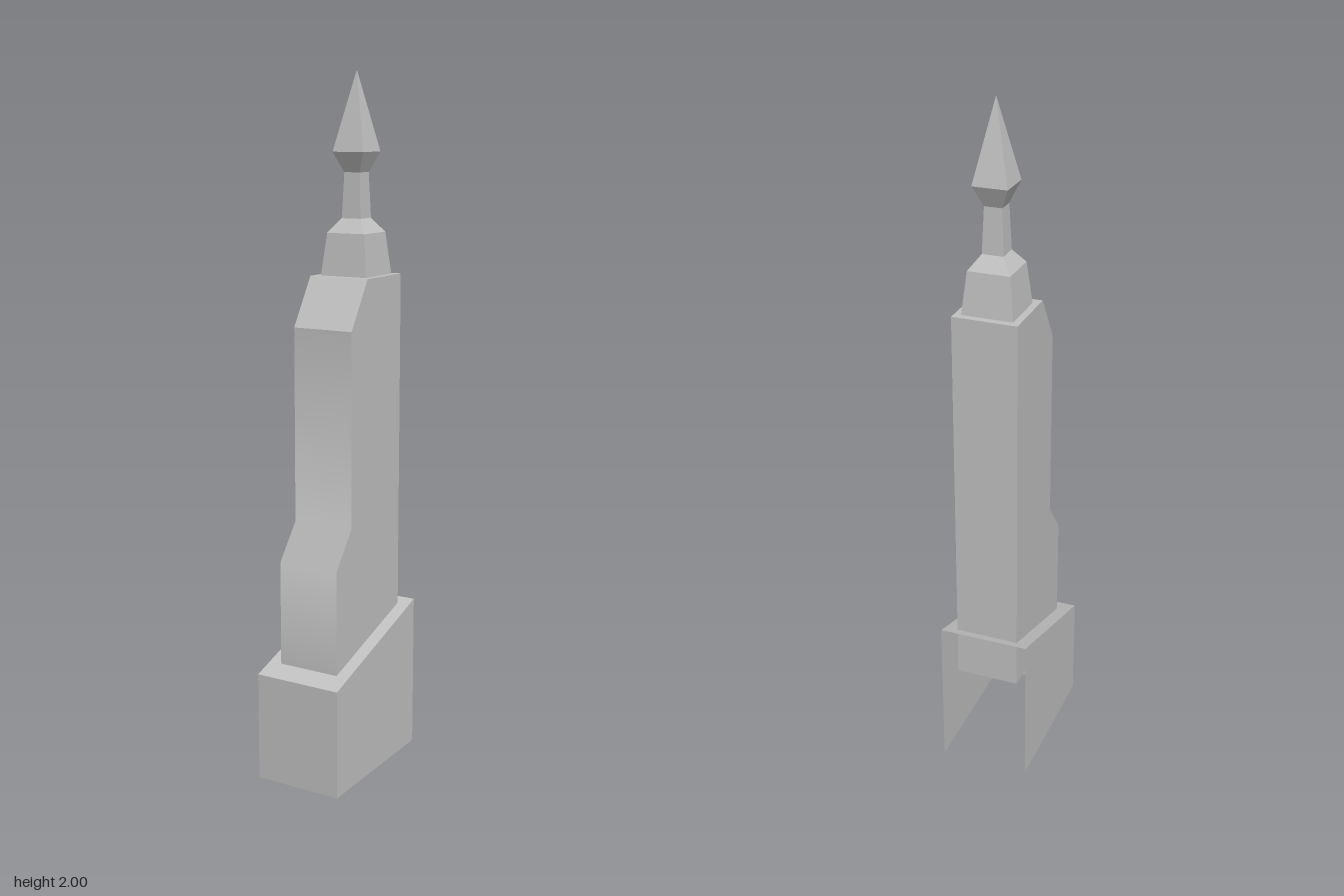
import * as THREE from 'three';

const stone = new THREE.MeshStandardMaterial({ color: 0xc2c2c2, side: THREE.DoubleSide });
stone.name = 'grey stone';

function addPart(group, name, geometry) {
  const mesh = new THREE.Mesh(geometry, stone);
  mesh.name = name;
  group.add(mesh);
  return mesh;
}

// Flat panel from four corners, counter-clockwise from outside
function panel(a, b, c, d) {
  const g = new THREE.BufferGeometry();
  g.setAttribute('position', new THREE.Float32BufferAttribute([a, b, c, a, c, d].flat(), 3));
  g.computeVertexNormals();
  return g;
}

// Square tapering section between two heights
function taper(y0, r0, y1, r1) {
  const s = Math.SQRT2;
  const g = new THREE.CylinderGeometry(r1 * s, r0 * s, y1 - y0, 4, 1, true, Math.PI / 4).toNonIndexed();
  g.computeVertexNormals();
  return g.translate(0, (y0 + y1) / 2, 0);
}

export function createModel() {
  const model = new THREE.Group();
  model.name = 'tower';

  // Plinth: thin shell with a sloping top, open at the back and underneath
  const plinth = new THREE.Group();
  plinth.name = 'plinth';
  model.add(plinth);
  const w = 0.131, d = 0.226, low = 0.317, high = 0.456;
  addPart(plinth, 'plinthFront', panel([-w, 0, d], [w, 0, d], [w, low, d], [-w, low, d]));
  addPart(plinth, 'plinthLeft', panel([w, 0, d], [w, 0, -d], [w, high, -d], [w, low, d]));
  addPart(plinth, 'plinthRight', panel([-w, 0, -d], [-w, 0, d], [-w, low, d], [-w, high, -d]));
  addPart(plinth, 'plinthTop', panel([-w, low, d], [w, low, d], [w, high, -d], [-w, high, -d]));

  // Shaft: stepped side profile (z, y) extruded across the width
  const half = 0.0925;
  const profile = [
    [-0.195, 0.3], [0.164, 0.3], [0.164, 0.64], [0.083, 0.742],
    [0.083, 1.3], [-0.003, 1.436], [-0.195, 1.436],
  ];
  const shape = new THREE.Shape(profile.map(([z, y]) => new THREE.Vector2(z, y)));
  const shaft = new THREE.ExtrudeGeometry(shape, { depth: 2 * half, bevelEnabled: false });
  shaft.translate(0, 0, -half).rotateY(-Math.PI / 2);
  // Soften the front step
  const pos = shaft.attributes.position, nor = shaft.attributes.normal;
  for (let i = 0; i < pos.count; i++) {
    const y = pos.getY(i);
    if (y > 0.6 && y < 0.8 && Math.abs(nor.getX(i)) < 0.5) nor.setXYZ(i, 0, 0.33, 0.944);
  }
  addPart(model, 'shaft', shaft);

  // Spire: stacked square tapers (height, half width)
  const spire = new THREE.Group();
  spire.name = 'spire';
  spire.position.z = -0.101;
  model.add(spire);
  const rings = [[1.436, 0.073], [1.555, 0.06], [1.595, 0.03], [1.722, 0.025], [1.778, 0.049], [2, 0]];
  const names = ['spireBase', 'spireShoulder', 'spireNeck', 'spireFlare', 'spireTip'];
  names.forEach((name, i) => addPart(spire, name, taper(...rings[i], ...rings[i + 1])));

  return model;
}
